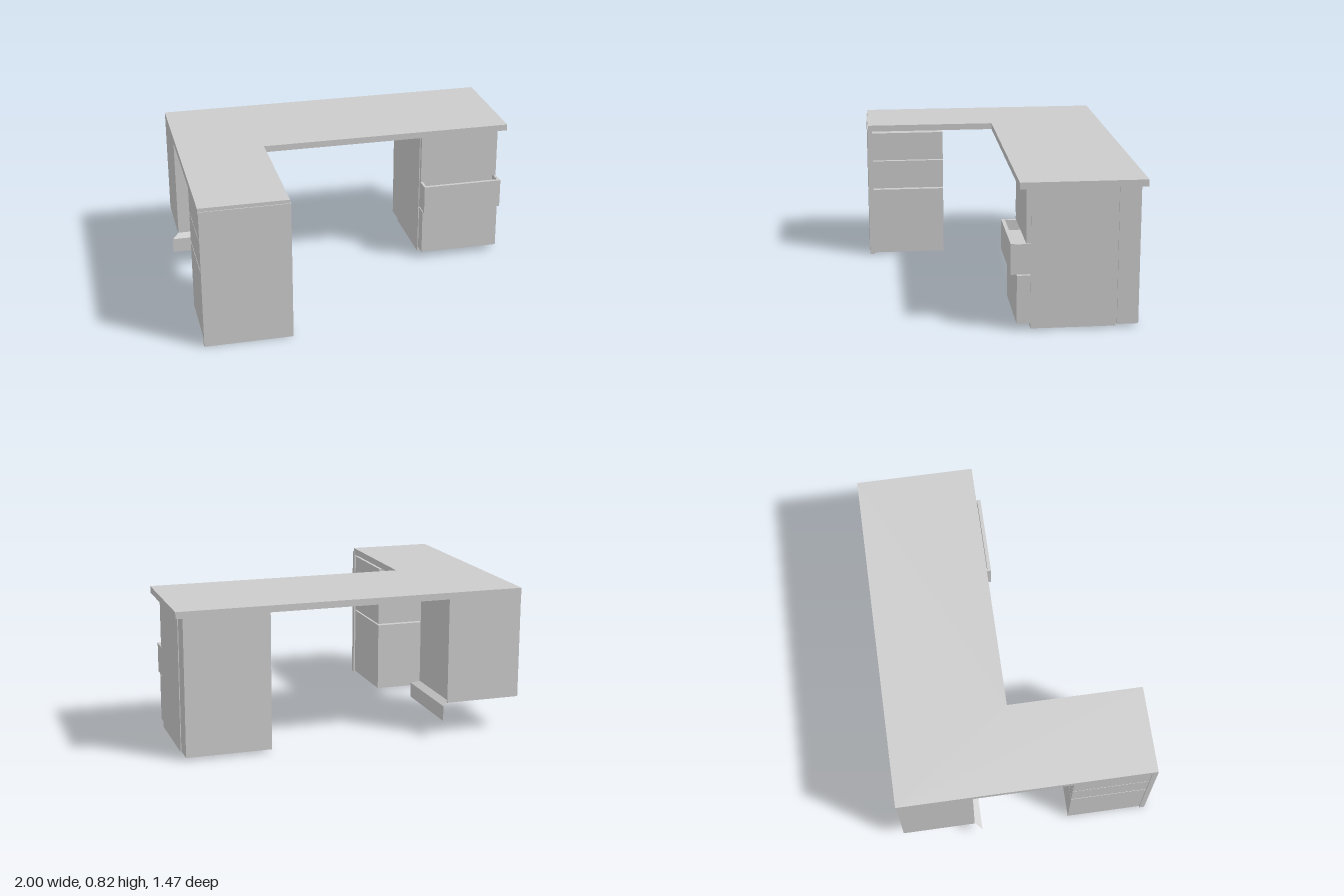
import * as THREE from 'three';

const material = new THREE.MeshStandardMaterial({ color: 0xcccccc, flatShading: true });
const thin = new THREE.MeshStandardMaterial({ color: 0xcccccc, flatShading: true, side: THREE.DoubleSide });

// Box given by its low and high bounds on each axis
function box(parent, name, [x0, x1], [y0, y1], [z0, z1]) {
  const mesh = new THREE.Mesh(new THREE.BoxGeometry(x1 - x0, y1 - y0, z1 - z0), material);
  mesh.position.set((x0 + x1) / 2, (y0 + y1) / 2, (z0 + z1) / 2);
  mesh.name = name;
  parent.add(mesh);
}

// L-shaped worktop, outlined in x and -z
function desktop() {
  const outline = [[-0.96, -0.733], [-0.47, -0.733], [-0.47, 0.025], [1, 0.025], [1, 0.7], [-0.96, 0.7]];
  const shape = new THREE.Shape(outline.map(([x, y]) => new THREE.Vector2(x, y)));
  const geometry = new THREE.ExtrudeGeometry(shape, { depth: 0.037, bevelEnabled: false });
  geometry.rotateX(-Math.PI / 2).translate(0, 0.783, 0);
  const mesh = new THREE.Mesh(geometry, material);
  mesh.name = 'desktop';
  return mesh;
}

// Thin mitred skirt round the two inner sides of the corner cabinet
function skirt() {
  const profile = [[0, 0.1], [0, 0.185], [0.04, 0.205]]; // inset, height
  const positions = [];
  const index = [];
  for (const [d, y] of profile) {
    positions.push(-1 + d, y, -0.24 - d, -0.49 - d, y, -0.24 - d, -0.49 - d, y, -0.735 + d);
  }
  for (let row = 0; row < profile.length - 1; row++) {
    for (let side = 0; side < 2; side++) {
      const a = row * 3 + side;
      index.push(a, a + 1, a + 4, a, a + 4, a + 3);
    }
  }
  const geometry = new THREE.BufferGeometry();
  geometry.setAttribute('position', new THREE.Float32BufferAttribute(positions, 3));
  geometry.setIndex(index);
  geometry.computeVertexNormals();
  const mesh = new THREE.Mesh(geometry, thin);
  mesh.name = 'cornerSkirt';
  return mesh;
}

export function createModel() {
  const desk = new THREE.Group();
  desk.name = 'cornerDesk';
  desk.add(desktop());

  // Return pedestal: end panel and three separate drawers
  const returnPedestal = new THREE.Group();
  returnPedestal.name = 'returnPedestal';
  box(returnPedestal, 'endPanel', [-0.957, -0.465], [0, 0.8], [0.708, 0.738]);
  for (const y of [[0.008, 0.413], [0.422, 0.594], [0.6, 0.77]]) {
    box(returnPedestal, 'returnDrawer', [-0.95, -0.475], y, [0.277, 0.708]);
  }
  desk.add(returnPedestal);

  // Corner cabinet standing on its raised skirt
  const corner = new THREE.Group();
  corner.name = 'cornerPedestal';
  box(corner, 'cornerCabinet', [-0.96, -0.53], [0.19, 0.783], [-0.695, -0.28]);
  corner.add(skirt());
  desk.add(corner);

  // Main pedestal: body, back section and drawer fronts
  const main = new THREE.Group();
  main.name = 'mainPedestal';
  box(main, 'mainBody', [0.48, 0.96], [0.008, 0.783], [-0.548, -0.09]);
  box(main, 'seam', [0.49, 0.95], [0.02, 0.783], [-0.556, -0.548]);
  box(main, 'backSection', [0.483, 0.957], [0.015, 0.783], [-0.672, -0.556]);
  box(main, 'topDrawerFront', [0.485, 0.957], [0.48, 0.78], [-0.09, -0.065]);
  box(main, 'bottomDrawerFront', [0.485, 0.957], [0.035, 0.304], [-0.09, -0.016]);

  // Middle drawer, pulled out and open at the top
  const drawer = new THREE.Group();
  drawer.name = 'openDrawer';
  box(drawer, 'drawerFront', [0.485, 0.96], [0.31, 0.48], [-0.003, 0.017]);
  box(drawer, 'drawerFloor', [0.5, 0.945], [0.312, 0.42], [-0.09, -0.003]);
  for (const x of [[0.485, 0.5], [0.945, 0.96]]) {
    box(drawer, 'drawerSide', x, [0.312, 0.478], [-0.09, -0.003]);
  }
  main.add(drawer);
  desk.add(main);

  return desk;
}
